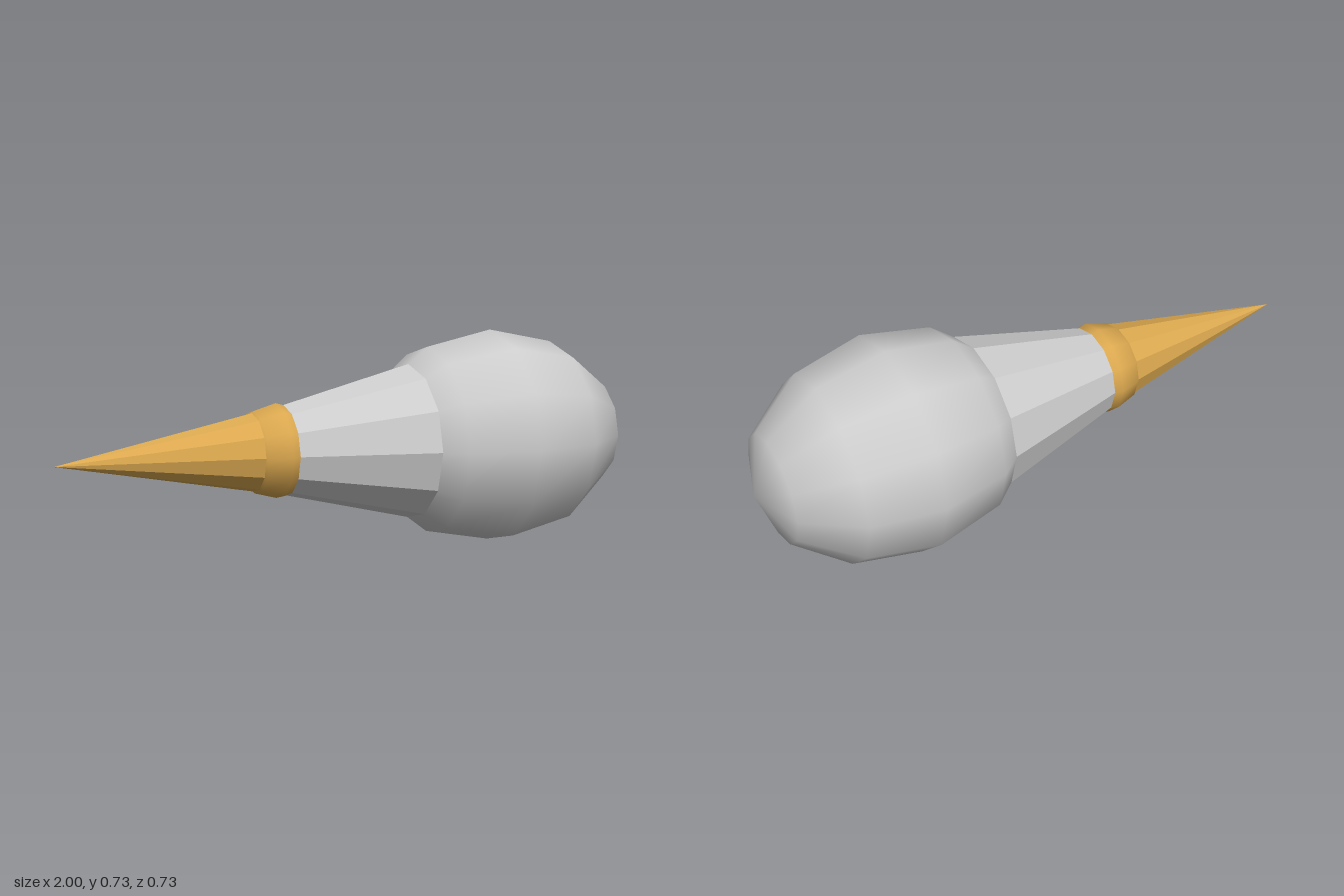
import * as THREE from 'three';

const SIDES = 12;
const AXIS_Y = 0.368;

export function createModel() {
  const model = new THREE.Group();
  const grey = new THREE.MeshStandardMaterial({ color: 0xcccccc });
  grey.name = 'light grey';
  const gold = new THREE.MeshStandardMaterial({ color: 0xdba84f });
  gold.name = 'gold';

  const add = (name, geometry, material) => {
    const mesh = new THREE.Mesh(geometry, material);
    mesh.name = name;
    mesh.position.y = AXIS_Y;
    model.add(mesh);
  };

  // Smooth ball stretched along x, with its poles on the x axis
  const ellipsoid = (x, radius, halfLength) =>
    new THREE.SphereGeometry(radius, SIDES, 6)
      .scale(1, halfLength / radius, 1)
      .rotateZ(-Math.PI / 2)
      .translate(x, 0, 0);

  // Faceted taper along x, from (x0, r0) to (x1, r1)
  const taper = (x0, r0, x1, r1) => {
    const flat = new THREE.CylinderGeometry(r1, r0, x1 - x0, SIDES)
      .rotateZ(-Math.PI / 2)
      .translate((x0 + x1) / 2, 0, 0)
      .toNonIndexed();
    flat.computeVertexNormals();
    return flat;
  };

  // Rounded handle end and tapering neck
  add('bulb', ellipsoid(0.522, 0.367, 0.476), grey);
  add('neck', taper(-0.265, 0.143, 0.25, 0.272), grey);

  // Ring and pointed tip
  add('collar', ellipsoid(-0.267, 0.157, 0.15), gold);
  add('spike', taper(-1, 0, -0.267, 0.145), gold);

  return model;
}
